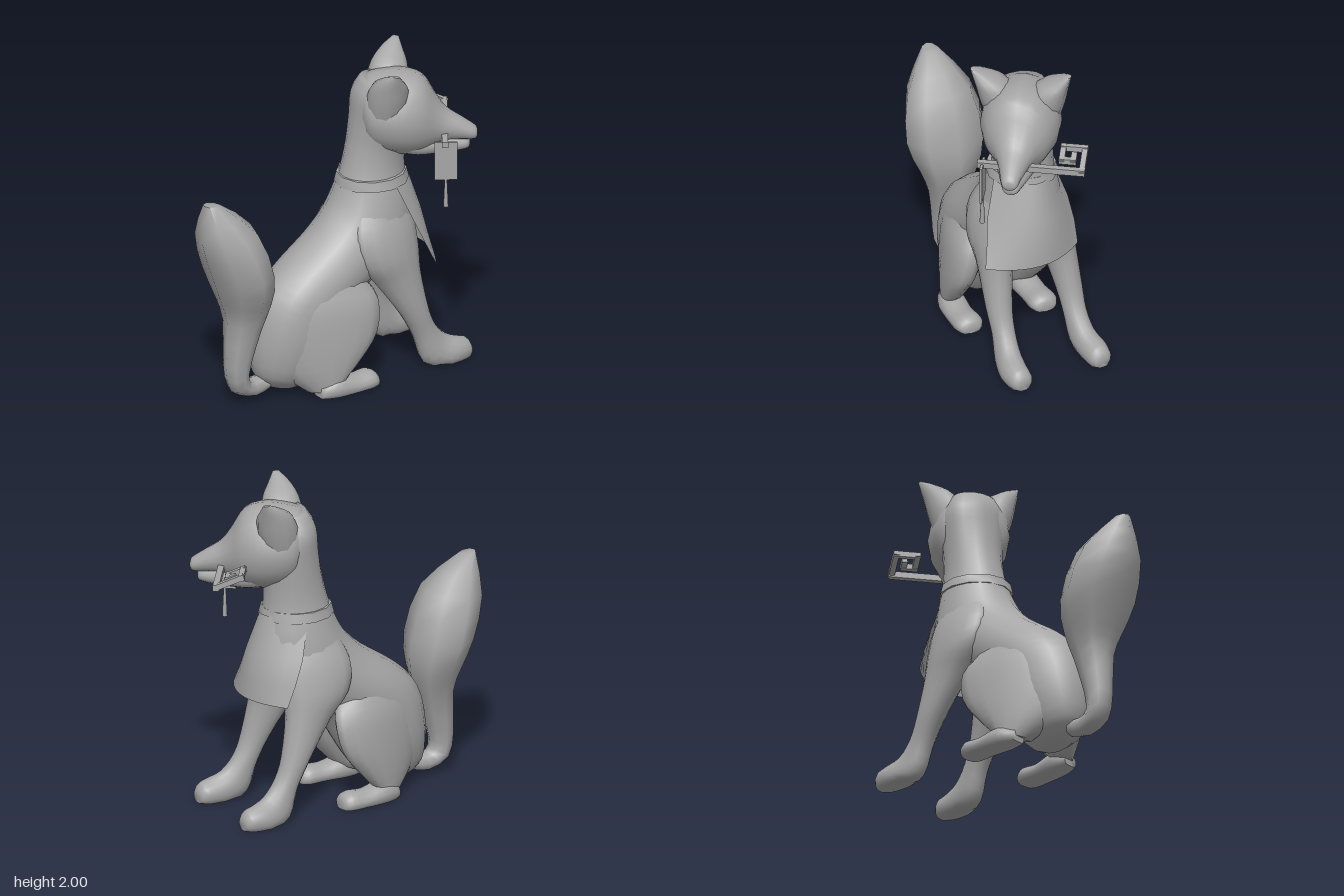
import * as THREE from 'three';
import { toCreasedNormals } from 'three/addons/utils/BufferGeometryUtils.js';

const MID = -0.05; // z of the body's mirror plane

function add(parent, name, geometry, side = THREE.FrontSide) {
  const mesh = new THREE.Mesh(geometry, new THREE.MeshStandardMaterial({ color: 0xa6a6a6, side }));
  mesh.name = name;
  parent.add(mesh);
  return mesh;
}

// Loft through elliptical rings, each [ax, ay, bx, by, z, halfWidth, skew = 0]:
// A and B are opposite outline points in the xy plane; skew moves A inward and
// B outward in z. sign mirrors z about midZ.
function loft(rings, midZ = 0, sign = 1, sides = 14, sub = 3) {
  const curve = (f) => new THREE.CatmullRomCurve3(rings.map(f), false, 'catmullrom', 0.5);
  const ca = curve((r) => new THREE.Vector3(r[0], r[1], 0));
  const cb = curve((r) => new THREE.Vector3(r[2], r[3], 0));
  const cw = curve((r) => new THREE.Vector3(r[4], r[5], r[6] || 0));
  const rows = (rings.length - 1) * sub;
  const pos = [], idx = [], centers = [];
  let facing = 0;
  for (let i = 0; i <= rows; i++) {
    const t = i / rows, a = ca.getPoint(t), b = cb.getPoint(t), w = cw.getPoint(t);
    const c = a.clone().add(b).multiplyScalar(0.5), n = a.sub(b).multiplyScalar(0.5);
    const z = midZ + sign * w.x;
    if (i) facing += n.y * (c.x - centers[i - 1].x) - n.x * (c.y - centers[i - 1].y);
    centers.push(new THREE.Vector3(c.x, c.y, z));
    for (let j = 0; j < sides; j++) {
      const p = (j / sides) * Math.PI * 2, cos = Math.cos(p);
      pos.push(c.x + n.x * cos, Math.max(0.005, c.y + n.y * cos), z + w.y * Math.sin(p) - sign * w.z * cos);
    }
  }
  const tri = (a, b, c) => (facing > 0 ? idx.push(a, b, c) : idx.push(a, c, b));
  const first = pos.length / 3, last = first + 1;
  for (const c of [centers[0], centers[rows]]) pos.push(c.x, Math.max(0.005, c.y), c.z);
  for (let j = 0; j < sides; j++) {
    const k = (j + 1) % sides;
    for (let i = 0; i < rows; i++) {
      const u = i * sides, v = u + sides;
      tri(u + j, u + k, v + j);
      tri(u + k, v + k, v + j);
    }
    tri(first, k, j);
    tri(last, rows * sides + j, rows * sides + k);
  }
  const g = new THREE.BufferGeometry();
  g.setAttribute('position', new THREE.Float32BufferAttribute(pos, 3));
  g.setIndex(idx);
  return toCreasedNormals(g, 1.2);
}

// Square bar between two points
function bar(parent, name, a, b, size) {
  const mesh = add(parent, name, new THREE.BoxGeometry(size, size, a.distanceTo(b) + size));
  mesh.position.copy(a).add(b).multiplyScalar(0.5);
  mesh.lookAt(b);
}

// Bib: a curved sheet that flares from collar to hem
function bibGeometry() {
  const rows = [ // y, front x, edge x, centre z, half width
    [1.24, 0.55, 0.34, -0.04, 0.19], [1.0, 0.62, 0.42, -0.03, 0.27],
    [0.85, 0.645, 0.48, -0.02, 0.295], [0.72, 0.655, 0.53, 0, 0.31]];
  const g = new THREE.PlaneGeometry(2, 1, 10, rows.length - 1);
  const p = g.attributes.position;
  for (let i = 0; i < p.count; i++) {
    const u = p.getX(i), [y, front, edge, cz, hw] = rows[Math.floor(i / 11)];
    p.setXYZ(i, front - (front - edge) * u * u, y, cz - hw * u);
  }
  g.computeVertexNormals();
  return g;
}

function createHead() {
  const head = new THREE.Group();
  head.name = 'head';
  head.position.set(0.42, 0, 0.01);
  head.rotation.y = -0.63;

  add(head, 'skull', loft([
    [-0.19, 1.78, -0.17, 1.55, 0, 0.13], [-0.155, 1.87, -0.12, 1.44, 0, 0.2],
    [-0.07, 1.9, -0.04, 1.4, 0, 0.235], [0.07, 1.91, 0.07, 1.38, 0, 0.24],
    [0.19, 1.87, 0.18, 1.39, 0, 0.2], [0.265, 1.75, 0.26, 1.43, 0, 0.14],
    [0.33, 1.66, 0.33, 1.455, 0, 0.1], [0.42, 1.6, 0.42, 1.46, 0, 0.07],
    [0.5, 1.545, 0.495, 1.46, 0, 0.048], [0.515, 1.52, 0.515, 1.48, 0, 0.025]], 0, 1, 16));
  add(head, 'lowerJaw', loft([
    [0.04, 1.6, 0.04, 1.38, 0, 0.14], [0.16, 1.54, 0.16, 1.37, 0, 0.14],
    [0.28, 1.51, 0.28, 1.375, 0, 0.1], [0.38, 1.49, 0.39, 1.385, 0, 0.068],
    [0.45, 1.47, 0.455, 1.4, 0, 0.045], [0.47, 1.45, 0.47, 1.42, 0, 0.02]]));
  // Ears grow out of the sides of the skull
  for (const s of [1, -1]) {
    add(head, s > 0 ? 'leftEar' : 'rightEar', loft([
      [-0.14, 1.56, 0.06, 1.6, 0.09, 0.11], [-0.15, 1.76, 0.1, 1.76, 0.13, 0.125],
      [-0.12, 1.885, 0.1, 1.87, 0.175, 0.105], [-0.06, 1.955, 0.075, 1.935, 0.235, 0.06],
      [0.01, 2, 0.05, 1.995, 0.29, 0.014]], 0, s, 12));
  }

  // Bar held in the mouth, ending in a square spiral, with a hanging tag
  const path = [[0.32, 0.2], [0.32, -0.41], [0.17, -0.41], [0.17, -0.28], [0.255, -0.28], [0.255, -0.35], [0.22, -0.35]]
    .map(([x, z]) => new THREE.Vector3(x, 1.515 + (0.32 - x) * 0.45, z));
  const key = new THREE.Group();
  key.name = 'key';
  for (let i = 1; i < path.length; i++) {
    bar(key, i === 1 ? 'keyShaft' : 'keySpiral', path[i - 1], path[i], i === 1 ? 0.038 : 0.034);
  }
  add(key, 'tag', new THREE.BoxGeometry(0.136, 0.245, 0.016)).position.set(0.325, 1.4, 0.188);
  add(key, 'tassel', new THREE.CylinderGeometry(0.008, 0.017, 0.18, 6)).position.set(0.325, 1.19, 0.188);
  head.add(key);
  return head;
}

export function createModel() {
  const model = new THREE.Group();
  model.name = 'sittingFox';

  // Rump, back, chest and neck in one sweep, running up into the skull
  add(model, 'body', loft([
    [-0.46, 0.06, -0.25, 0.01, 0, 0.07], [-0.54, 0.16, -0.14, 0.07, 0, 0.16],
    [-0.55, 0.38, -0.02, 0.22, 0, 0.22], [-0.49, 0.62, 0.08, 0.38, 0, 0.24],
    [-0.35, 0.77, 0.17, 0.53, 0, 0.25], [-0.12, 0.93, 0.3, 0.62, 0, 0.25],
    [0, 1.05, 0.47, 0.68, 0, 0.25], [0.06, 1.14, 0.56, 0.86, 0, 0.24],
    [0.1, 1.23, 0.56, 1.08, 0, 0.21], [0.13, 1.32, 0.53, 1.24, 0, 0.18],
    [0.165, 1.47, 0.52, 1.38, 0.005, 0.175], [0.185, 1.63, 0.53, 1.54, 0.025, 0.2],
    [0.2, 1.78, 0.53, 1.7, 0.045, 0.225], [0.25, 1.87, 0.48, 1.85, 0.05, 0.17]], MID, 1, 18));

  // Tail curls under, leans on the rump, then rises into a full brush
  add(model, 'tail', loft([
    [-0.46, 0.15, -0.46, 0.05, 0, 0.06], [-0.57, 0.14, -0.57, 0.025, 0, 0.07],
    [-0.61, 0.17, -0.72, 0.09, 0, 0.08], [-0.59, 0.28, -0.76, 0.26, 0, 0.09],
    [-0.53, 0.48, -0.75, 0.54, 0, 0.13], [-0.475, 0.66, -0.79, 0.68, 0, 0.19],
    [-0.48, 0.86, -0.86, 0.88, 0, 0.26], [-0.58, 1.16, -0.935, 1.12, 0, 0.21],
    [-0.81, 1.35, -0.92, 1.365, 0, 0.05]], MID, 1, 8, 2));

  for (const s of [1, -1]) {
    const side = s > 0 ? 'left' : 'right';
    add(model, side + 'FrontLeg', loft([
      [0.14, 1.14, 0.46, 1.12, 0.1, 0.08], [0.06, 0.94, 0.52, 0.97, 0.155, 0.115, -0.03],
      [0.09, 0.76, 0.53, 0.8, 0.19, 0.12, -0.03], [0.21, 0.6, 0.51, 0.65, 0.21, 0.1],
      [0.37, 0.37, 0.55, 0.4, 0.235, 0.08], [0.46, 0.2, 0.6, 0.27, 0.24, 0.07],
      [0.52, 0.03, 0.68, 0.18, 0.25, 0.075], [0.66, -0.03, 0.76, 0.145, 0.265, 0.083],
      [0.8, -0.02, 0.815, 0.125, 0.265, 0.072], [0.84, 0, 0.845, 0.085, 0.265, 0.045]], MID, s));
    // Haunch tapers into the rump behind and swings out to the knee in front
    add(model, side + 'Thigh', loft([
      [-0.3, 0.76, 0.12, 0.7, 0.12, 0.1, 0.03], [-0.44, 0.58, 0.185, 0.56, 0.16, 0.12, 0.08],
      [-0.48, 0.37, 0.155, 0.37, 0.175, 0.12, 0.1], [-0.43, 0.17, 0.04, 0.22, 0.18, 0.11, 0.09],
      [-0.28, 0.03, -0.08, 0.09, 0.21, 0.08, 0.04]], MID, s, 16));
    add(model, side + 'HindFoot', loft([
      [-0.24, 0.08, -0.24, -0.01, 0.23, 0.05], [-0.14, 0.13, -0.14, -0.03, 0.24, 0.085],
      [0, 0.1, 0, -0.03, 0.25, 0.085], [0.1, 0.105, 0.1, -0.03, 0.25, 0.09],
      [0.145, 0.085, 0.145, -0.02, 0.25, 0.07], [0.16, 0.06, 0.16, 0, 0.25, 0.045]], MID, s));
  }

  // Collar band and bib
  const band = [[0.18, 0], [0.23, 0], [0.215, 0.06], [0.18, 0.06], [0.18, 0]]
    .map(([x, y]) => new THREE.Vector2(x, y));
  const collar = add(model, 'collar', toCreasedNormals(new THREE.LatheGeometry(band, 12), 0.7), THREE.DoubleSide);
  collar.position.set(0.315, 1.21, MID + 0.005);
  collar.scale.z = 0.94;
  add(model, 'bib', bibGeometry(), THREE.DoubleSide);

  model.add(createHead());
  return model;
}
